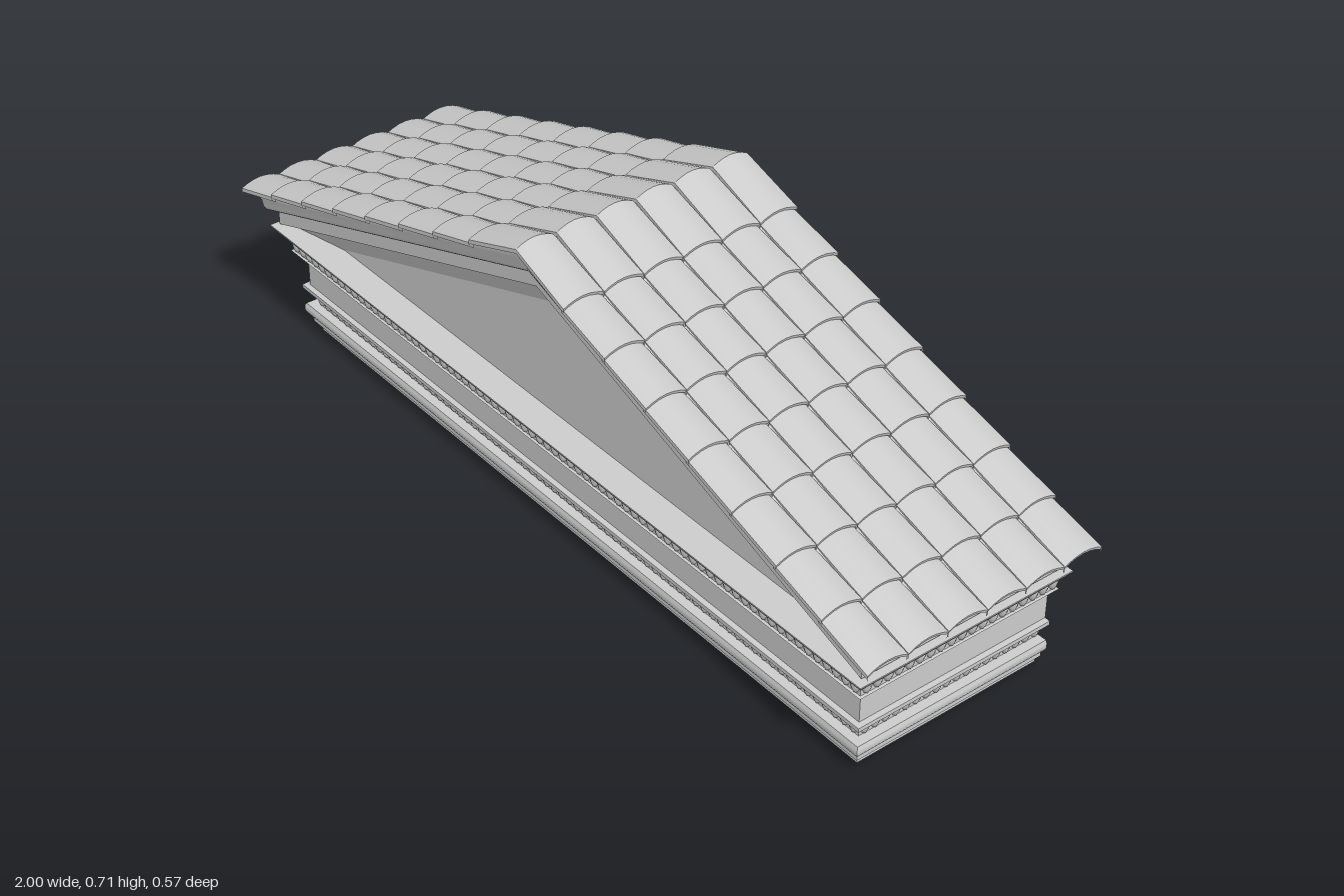
import * as THREE from 'three';
import { mergeGeometries, toCreasedNormals } from 'three/addons/utils/BufferGeometryUtils.js';

const BACK = -0.27;      // open rear edge of the entablature
const SIDE = 0.70;       // side faces sit at x = z + SIDE
const SLOPE = 0.353;     // roof pitch
const LEDGE = 0.266;     // top of the horizontal cornice
const mat = new THREE.MeshStandardMaterial({ color: 0xcccccc, side: THREE.DoubleSide });

function add(parent, name, geometry) {
  const mesh = new THREE.Mesh(geometry, mat);
  mesh.name = name;
  parent.add(mesh);
  return mesh;
}

// Surface through rows of [x, y, z] points
function loft(rows, crease = 0.5) {
  const pos = [], index = [], n = rows[0].length;
  rows.forEach(row => row.forEach(p => pos.push(...p)));
  for (let i = 0; i < rows.length - 1; i++) {
    for (let j = 0; j < n - 1; j++) {
      const a = i * n + j, b = a + 1, c = a + n, d = c + 1;
      index.push(a, b, d, a, d, c);
    }
  }
  const g = new THREE.BufferGeometry();
  g.setAttribute('position', new THREE.Float32BufferAttribute(pos, 3));
  g.setIndex(index);
  return toCreasedNormals(g, crease);
}

// Horizontal mouldings run along both sides and the front with mitred corners
function entablature(profile) {
  return loft(profile.map(([z, y]) => {
    const x = z + SIDE;
    return [[-x, y, BACK], [-x, y, z], [x, y, z], [x, y, BACK]];
  }));
}

// Raking mouldings follow the gable, turn the corner and return along the eaves
function rakingCornice(profile) {
  return loft(profile.map(([z, y]) => {
    const x = Math.min(z + SIDE, (y - LEDGE) / SLOPE);
    const e = y - SLOPE * x;
    return [[-x, e, BACK], [-x, e, z], [0, y, z], [x, e, z], [x, e, BACK]];
  }));
}

// Row of egg ornaments around three sides
function eggBand(y, z, height, depth) {
  const profile = [[0, 0], [0.45, 0.15], [0.8, 0.45], [1, 0.8], [0.85, 1], [0, 1]]
    .map(p => new THREE.Vector2(...p));
  const egg = new THREE.LatheGeometry(profile, 8);
  const eggs = [];
  const place = (x, zz, sx, sz) =>
    eggs.push(egg.clone().scale(sx, height, sz).translate(x, y, zz));
  const half = z + SIDE, step = 0.025, r = 0.0115;
  const nFront = Math.round(2 * half / step);
  for (let i = 0; i < nFront; i++) {
    place(-half + (i + 0.5) * 2 * half / nFront, z, r, depth);
  }
  const nSide = Math.round((z - BACK) / step);
  for (let i = 0; i < nSide; i++) {
    const zz = BACK + (i + 0.5) * (z - BACK) / nSide;
    for (const s of [-1, 1]) place(s * half, zz, depth, r);
  }
  return mergeGeometries(eggs);
}

const roofY = x => 0.70 - SLOPE * x;

// One arched tile, slightly wider at its lower end, with a thick lower lip
function tile(side, xLow, xHigh, drop, zc) {
  const arch = [[-1, -0.009], [-1, 0], [-0.7, 0.006], [-0.35, 0.0105], [0, 0.012],
    [0.35, 0.0105], [0.7, 0.006], [1, 0], [1, -0.009]];
  const section = (x, w, dy) => arch.map(([u, h]) => [side * x, roofY(x) + h + dy, zc + u * w]);
  const low = section(xLow, 0.0468, 0);
  return loft([section(xHigh, 0.0435, -drop), low, section(xLow - 0.002, 0.0455, -0.007)], 0.6);
}

export function createModel() {
  const model = new THREE.Group();
  model.name = 'pediment';

  // Entablature: stepped architrave, frieze and horizontal cornice
  const body = new THREE.Group();
  body.name = 'entablature';
  model.add(body);
  add(body, 'architrave', entablature([
    [0.18, 0], [0.18, 0.022], [0.193, 0.022], [0.193, 0.043], [0.203, 0.044],
    [0.206, 0.05], [0.206, 0.062], [0.203, 0.068], [0.182, 0.068], [0.182, 0.097],
    [0.193, 0.097], [0.199, 0.1], [0.207, 0.108], [0.207, 0.117], [0.195, 0.118]]));
  add(body, 'frieze', entablature([[0.195, 0.118], [0.195, 0.178]]));
  add(body, 'cornice', entablature([
    [0.195, 0.178], [0.221, 0.204], [0.215, 0.205], [0.215, 0.235], [0.222, 0.236],
    [0.231, 0.24], [0.24, 0.249], [0.25, 0.263], [0.25, LEDGE]]));
  add(body, 'lowerEggBand', eggBand(0.068, 0.182, 0.029, 0.011));
  add(body, 'upperEggBand', eggBand(0.205, 0.215, 0.031, 0.012));

  // Floor and cornice top; the rear is open between them
  for (const [name, y, z] of [['floor', 0, 0.18], ['corniceTop', LEDGE, 0.25]]) {
    const plane = new THREE.PlaneGeometry(2 * (z + SIDE), z - BACK).rotateX(-Math.PI / 2);
    add(body, name, plane).position.set(0, y, (z + BACK) / 2);
  }

  // Gable wall and its sloping cornice
  const apex = 0.537, wallZ = 0.18, base = (apex - LEDGE) / SLOPE;
  const triangle = new THREE.Shape([[-base, LEDGE], [base, LEDGE], [0, apex]]
    .map(p => new THREE.Vector2(...p)));
  add(model, 'gableWall', new THREE.ShapeGeometry(triangle)).position.z = wallZ;
  add(model, 'rakingCornice', rakingCornice([
    [wallZ, apex], [0.215, 0.592], [0.215, 0.6], [0.235, 0.6], [0.235, 0.63],
    [0.245, 0.636], [0.253, 0.642], [0.258, 0.652], [0.26, 0.668], [0.262, 0.672],
    [0.262, 0.683]]));

  // Roof: eight courses of six tiles on each slope, with pans under the joints
  const roof = new THREE.Group();
  roof.name = 'roof';
  model.add(roof);
  const courses = 8, columns = 6, pitch = 0.1215, width = 0.0945;
  for (const side of [-1, 1]) {
    const tiles = [], pans = [];
    for (let c = 0; c < columns; c++) {
      const z = (c - (columns - 1) / 2) * width;
      for (let k = 0; k < courses; k++) {
        const low = 1 - k * pitch, last = k === courses - 1;
        tiles.push(tile(side, low, last ? 0 : low - pitch - 0.012, last ? 0 : 0.009, z));
      }
      if (c === 0) continue;
      // Shallow pan strip between neighbouring columns
      pans.push(loft([0, 0.985].map(x => [[-0.012, 0], [0, -0.004], [0.012, 0]]
        .map(([dz, h]) => [side * x, roofY(x) - 0.008 + h, z - width / 2 + dz]))));
    }
    const label = side > 0 ? 'left' : 'right';
    add(roof, label + 'Tiles', mergeGeometries(tiles));
    add(roof, label + 'Pans', mergeGeometries(pans));
  }
  return model;
}
